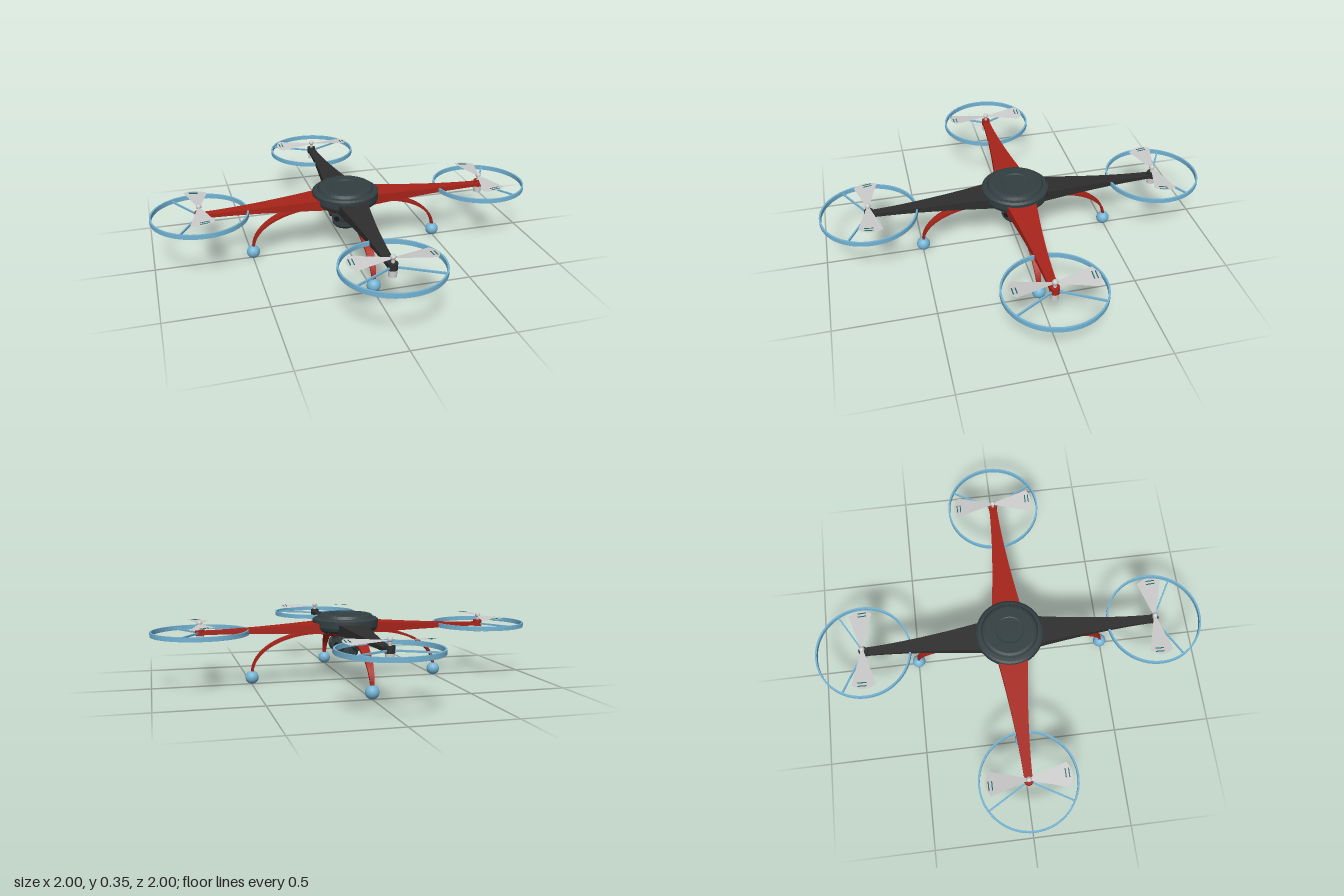
import * as THREE from 'three';

const mat = (color, side = THREE.FrontSide) => new THREE.MeshStandardMaterial({ color, side });
const red = mat(0xa8241a), black = mat(0x2e2e2e), slate = mat(0x333f42), dark = mat(0x16191a);
const blue = mat(0x74b4d4), grey = mat(0xcccccc), bladeGrey = mat(0xcccccc, THREE.DoubleSide), teal = mat(0x1f6b66);
const { lerp } = THREE.MathUtils;
const HUB = 0.755; // distance of each rotor from the centre

function add(parent, name, geometry, material, x = 0, y = 0, z = 0) {
  const mesh = new THREE.Mesh(geometry, material);
  mesh.name = name;
  mesh.position.set(x, y, z);
  parent.add(mesh);
  return mesh;
}

// Upright cylinder between two heights
function post(parent, name, r0, r1, y0, y1, material, x = 0, seg = 24) {
  return add(parent, name, new THREE.CylinderGeometry(r1, r0, y1 - y0, seg), material, x, (y0 + y1) / 2);
}

// Lathe with sharp edges between the profile points
function turned(points, seg) {
  const geo = new THREE.LatheGeometry(points.map(p => new THREE.Vector2(...p)), seg).toNonIndexed();
  geo.computeVertexNormals();
  return geo;
}

// Bar whose corners follow rule(t along, u up -1..1, w across -1..1)
function bar(segments, rule) {
  const geo = new THREE.BoxGeometry(1, 2, 2, segments, 1, 1).toNonIndexed();
  const p = geo.attributes.position;
  for (let i = 0; i < p.count; i++) p.setXYZ(i, ...rule(p.getX(i) + 0.5, p.getY(i), p.getZ(i)));
  geo.computeVertexNormals();
  return geo;
}

// Tapered arm, waisted in plan
const armGeo = bar(16, (t, u, w) => {
  const k = (1 - t) ** 1.6;
  const half = lerp(0.02, 0.088, k);
  return [lerp(0.06, HUB + 0.01, t), u > 0 ? lerp(0.285, 0.318, k) : lerp(0.267, 0.256, k), w * half];
});

// Curved landing leg, a quarter ellipse that narrows to the foot
const legGeo = bar(24, (t, u, w) => {
  const a = (1 - t) * Math.PI / 2, c = Math.cos(a), s = Math.sin(a);
  const n = new THREE.Vector2(c / 0.345, s / 0.2).normalize().multiplyScalar(u * 0.006);
  return [0.15 + 0.345 * c + n.x, 0.06 + 0.2 * s + n.y, w * lerp(0.036, 0.008, t)];
});

// Fan-shaped propeller blade lying along +z
const bladeShape = new THREE.Shape();
bladeShape.moveTo(-0.008, 0.01);
bladeShape.lineTo(-0.06, 0.187);
bladeShape.quadraticCurveTo(0, 0.236, 0.06, 0.187);
bladeShape.lineTo(0.008, 0.01);
const bladeGeo = new THREE.ShapeGeometry(bladeShape, 10).rotateX(Math.PI / 2);

// Square-section guard ring
const ringGeo = turned([[0.236, 0.265], [0.245, 0.265], [0.245, 0.288], [0.236, 0.288], [0.236, 0.265]], 64);

function rotor(armMaterial, spin) {
  const g = new THREE.Group();
  g.name = 'rotor';
  add(g, 'guardRing', ringGeo, blue);
  for (let k = 0; k < 3; k++) {
    const spoke = new THREE.Group();
    spoke.rotation.y = Math.PI / 3 + k * Math.PI * 2 / 3;
    add(spoke, 'guardSpoke', new THREE.BoxGeometry(0.238, 0.009, 0.008), blue, 0.12, 0.276);
    g.add(spoke);
  }
  post(g, 'motor', 0.02, 0.02, 0.23, 0.27, grey);
  post(g, 'motorMount', 0.023, 0.023, 0.264, 0.297, armMaterial);
  post(g, 'shaft', 0.008, 0.008, 0.295, 0.325, grey, 0, 16);
  add(g, 'shaftCap', new THREE.SphereGeometry(0.014, 16, 12), grey, 0, 0.324);
  for (let k = 0; k < 2; k++) {
    const blade = new THREE.Group();
    blade.name = 'propellerBlade';
    blade.position.y = 0.32;
    blade.rotation.set(0, k * Math.PI, spin * 0.11);
    add(blade, 'blade', bladeGeo, bladeGrey);
    for (const z of [0.178, 0.195])
      add(blade, 'bladeStripe', new THREE.BoxGeometry(0.045, 0.003, 0.005), teal, spin * 0.01, 0, z);
    g.add(blade);
  }
  g.position.x = HUB;
  return g;
}

export function createModel() {
  const model = new THREE.Group();
  model.name = 'quadcopter';

  // Round stepped body shell and the plate beneath it
  add(model, 'bodyShell', turned([[0, 0.258], [0.145, 0.258], [0.166, 0.275], [0.172, 0.29], [0.172, 0.326],
    [0.162, 0.334], [0.146, 0.336], [0.138, 0.35], [0.125, 0.354], [0.072, 0.354], [0.068, 0.351], [0, 0.351]], 48), slate);
  post(model, 'bellyPlate', 0.13, 0.152, 0.247, 0.262, red, 0, 48);

  // Four arms, rotors and legs
  for (let i = 0; i < 4; i++) {
    const quarter = new THREE.Group();
    quarter.name = 'armAssembly';
    quarter.rotation.y = i * Math.PI / 2;
    const armMaterial = i % 2 ? black : red;
    add(quarter, 'arm', armGeo, armMaterial);
    quarter.add(rotor(armMaterial, i % 2 ? -1 : 1));
    add(quarter, 'landingLeg', legGeo, red);
    add(quarter, 'foot', new THREE.SphereGeometry(0.034, 24, 16), blue, 0.497, 0.036);
    model.add(quarter);
  }

  // Camera pod with a lens on each diagonal
  const pod = new THREE.Group();
  pod.name = 'cameraPod';
  add(pod, 'podCore', turned([[0, 0.13], [0.058, 0.13], [0.068, 0.142], [0.068, 0.235], [0.055, 0.25], [0, 0.25]], 16), slate);
  for (let i = 0; i < 4; i++) {
    const eye = new THREE.Group();
    eye.name = 'cameraEye';
    eye.rotation.y = Math.PI / 4 + i * Math.PI / 2;
    const tube = (name, r, x0, x1, material) =>
      add(eye, name, new THREE.CylinderGeometry(r, r, x1 - x0, 20).rotateZ(-Math.PI / 2), material, (x0 + x1) / 2, 0.195);
    tube('eyeHousing', 0.036, 0.04, 0.08, slate);
    tube('eyeBarrel', 0.026, 0.08, 0.089, slate);
    tube('lens', 0.015, 0.089, 0.091, dark);
    pod.add(eye);
  }
  model.add(pod);
  return model;
}
